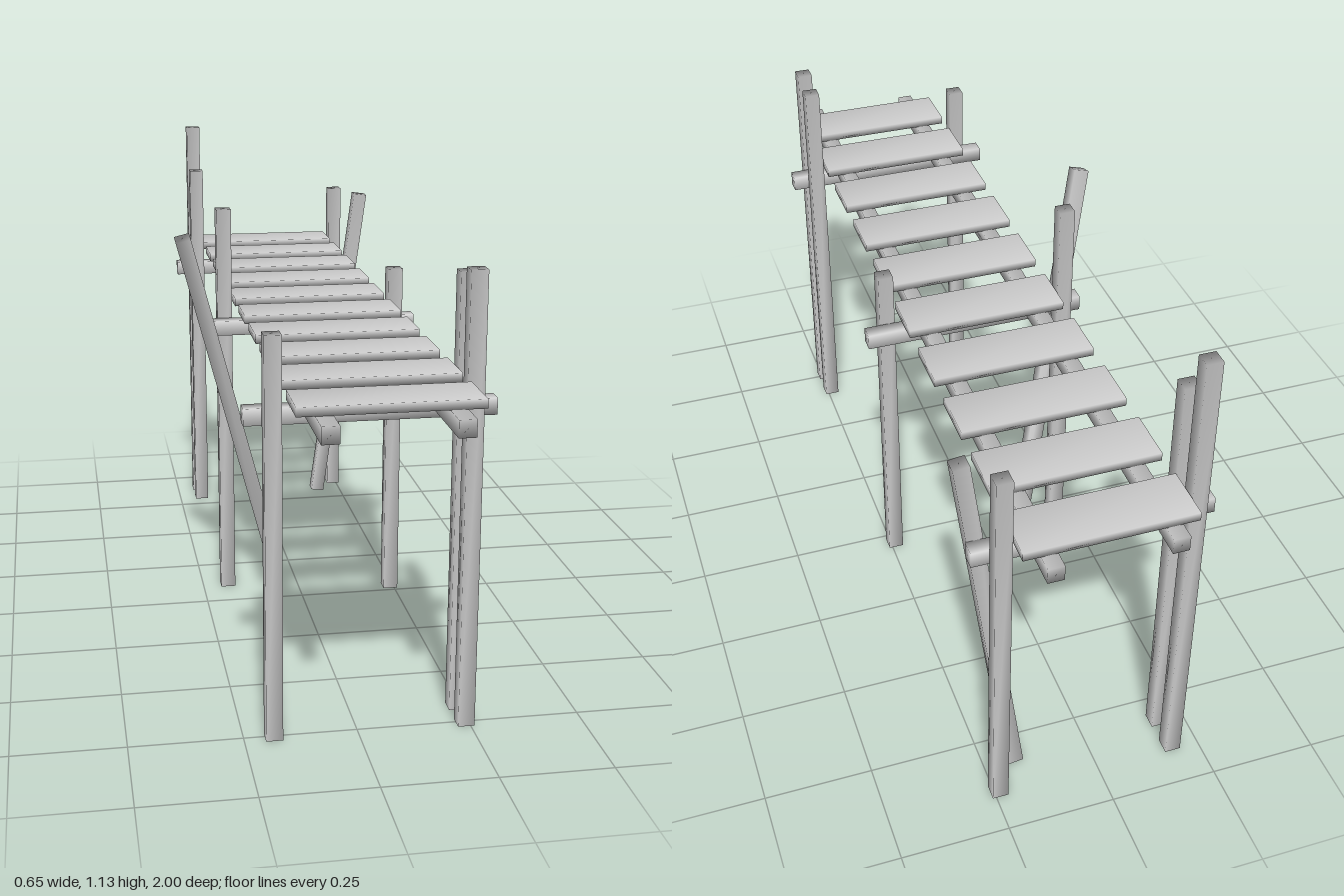
import * as THREE from 'three';
import { mergeVertices } from 'three/addons/utils/BufferGeometryUtils.js';

const material = new THREE.MeshStandardMaterial({ color: 0xcccccc });
const T = 0.037; // thickness of the square timbers

// Box with welded corners, so the normals blend softly across the edges
function softBox(w, h, d) {
  const geometry = new THREE.BoxGeometry(w, h, d);
  geometry.deleteAttribute('normal');
  geometry.deleteAttribute('uv');
  const welded = mergeVertices(geometry);
  welded.computeVertexNormals();
  return welded;
}

export function createModel() {
  const model = new THREE.Group();
  model.name = 'woodenPier';

  function addBox(name, w, h, d, x, y, z) {
    const mesh = new THREE.Mesh(softBox(w, h, d), material);
    mesh.name = name;
    mesh.position.set(x, y, z);
    model.add(mesh);
    return mesh;
  }

  // Upright posts: x, z, height
  const right = -0.185, left = 0.24;
  const posts = [
    [left, 0.755, 1.02], [left, 0.676, 1.0], [right, 0.755, 0.9],
    [left, -0.03, 0.865], [right, -0.11, 1.013],
    [left, -0.894, 0.94], [right, -0.894, 1.13], [right, -0.815, 1.013],
  ];
  for (const [x, z, h] of posts) addBox('post', T, h, T, x, h / 2, z);

  // Leaning posts, from foot to head
  function addLeaningPost(foot, head) {
    const a = new THREE.Vector3(...foot), b = new THREE.Vector3(...head);
    const mid = a.clone().add(b).multiplyScalar(0.5);
    const mesh = addBox('leaningPost', T, a.distanceTo(b), T, mid.x, mid.y, mid.z);
    mesh.quaternion.setFromUnitVectors(new THREE.Vector3(0, 1, 0), b.sub(a).normalize());
  }
  addLeaningPost([-0.05, 0.036, -0.175], [-0.306, 0.98, 0.108]);
  addLeaningPost([0.177, 0.007, -0.817], [0.304, 0.932, -0.817]);

  // Cross beams between the posts
  for (const z of [0.715, -0.07, -0.855]) addBox('crossBeam', 0.54, T, T, 0.028, 0.718, z);

  // Long rails under the deck
  for (const x of [-0.107, 0.162]) addBox('rail', T, T, 2, x, 0.756, 0);

  // Deck planks
  for (let i = 0; i < 10; i++) {
    addBox('plank', 0.383, 0.02, 0.128, 0.028, 0.785, 0.87 - i * 0.1965);
  }

  return model;
}
